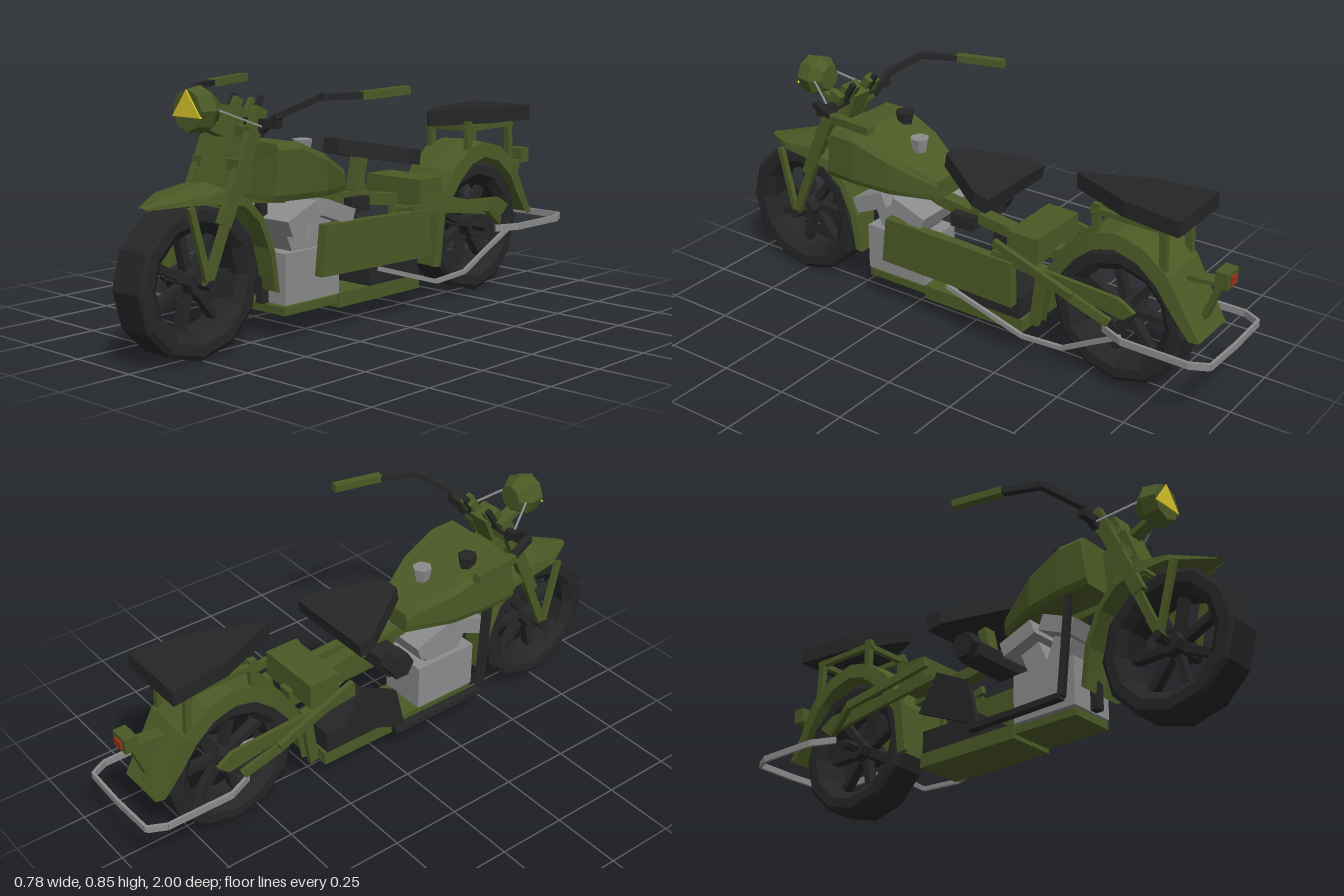
import * as THREE from 'three';

const mat = (color) => new THREE.MeshStandardMaterial({ color, flatShading: true, side: THREE.DoubleSide });
const V = (a) => new THREE.Vector3(...a);

export function createModel() {
  const olive = mat(0x4b5a26), black = mat(0x262626), grey = mat(0x8c8c8c);
  const yellow = mat(0xd8c52a), red = mat(0x9c3018);
  const model = new THREE.Group();
  model.name = 'motorcycle';
  const bike = new THREE.Group();
  bike.name = 'bike';
  bike.position.x = -0.01;
  model.add(bike);

  const add = (name, geo, m, parent = bike) => {
    const mesh = new THREE.Mesh(geo, m);
    mesh.name = name;
    parent.add(mesh);
    return mesh;
  };
  const box = (name, m, x0, x1, y0, y1, z0, z1) => {
    const mesh = add(name, new THREE.BoxGeometry(x1 - x0, y1 - y0, z1 - z0), m);
    mesh.position.set((x0 + x1) / 2, (y0 + y1) / 2, (z0 + z1) / 2);
    return mesh;
  };
  // Straight bar between two points; w across, h up
  const bar = (name, m, a, b, w, h = w) => {
    const p = V(a), q = V(b);
    const mesh = new THREE.Mesh(new THREE.BoxGeometry(w, h, p.distanceTo(q)), m);
    mesh.position.copy(p).lerp(q, 0.5);
    mesh.lookAt(q);
    mesh.name = name;
    bike.add(mesh);
    return mesh;
  };
  const path = (name, m, pts, w, h = w) => {
    for (let i = 1; i < pts.length; i++) bar(name, m, pts[i - 1], pts[i], w, h);
  };
  const flip = (s, pts) => pts.map(([x, y, z]) => [x * s, y, z]);
  const shape = (pts) => new THREE.Shape(pts.map(([a, b]) => new THREE.Vector2(a, b)));
  // Side outline in (z, y), thick from x0 to x1
  const side = (name, m, pts, x0, x1) => {
    const g = new THREE.ExtrudeGeometry(shape(pts), { depth: x1 - x0, bevelEnabled: false });
    return add(name, g.rotateY(-Math.PI / 2).translate(x1, 0, 0), m);
  };
  // Plan outline in (x, z), thick from y0 to y1
  const plan = (name, m, pts, y0, y1) => {
    const g = new THREE.ExtrudeGeometry(shape(pts.map(([x, z]) => [x, -z])), { depth: y1 - y0, bevelEnabled: false });
    return add(name, g.rotateX(-Math.PI / 2).translate(0, y0, 0), m);
  };
  // Skin over equal cross-sections; closed adds the seam and end caps
  const loft = (name, m, rings, closed) => {
    const n = rings[0].length, idx = [];
    for (let i = 0; i < rings.length - 1; i++)
      for (let j = 0; j < (closed ? n : n - 1); j++) {
        const a = i * n + j, b = i * n + (j + 1) % n;
        idx.push(a, a + n, b, b, a + n, b + n);
      }
    if (closed) for (let j = 1; j < n - 1; j++) {
      const e = (rings.length - 1) * n;
      idx.push(0, j, j + 1, e, e + j + 1, e + j);
    }
    const g = new THREE.BufferGeometry();
    g.setAttribute('position', new THREE.Float32BufferAttribute(rings.flat(2), 3));
    g.setIndex(idx);
    g.computeVertexNormals();
    return add(name, g, m);
  };

  // Wheels: twelve-sided tyre, hub and spokes
  const profile = [[0.165, -0.045], [0.195, -0.07], [0.23, -0.07], [0.245, -0.06], [0.245, 0.06],
    [0.23, 0.07], [0.195, 0.07], [0.165, 0.045], [0.165, -0.045]].map(([r, x]) => new THREE.Vector2(r, x));
  for (const [name, z] of [['frontWheel', 0.755], ['rearWheel', -0.6]]) {
    const wheel = new THREE.Group();
    wheel.name = name;
    wheel.position.set(0, 0.245, z);
    bike.add(wheel);
    add('tyre', new THREE.LatheGeometry(profile, 12).rotateZ(Math.PI / 2), black, wheel);
    add('hub', new THREE.CylinderGeometry(0.042, 0.042, 0.12, 8).rotateZ(Math.PI / 2), black, wheel);
    add('axle', new THREE.CylinderGeometry(0.018, 0.018, 0.23, 6).rotateZ(Math.PI / 2), black, wheel);
    for (let i = 0; i < 7; i++)
      add('spoke', new THREE.BoxGeometry(0.035, 0.026, 0.16).translate(0, 0, -0.1)
        .rotateX(i * Math.PI * 2 / 7), black, wheel);
  }

  // Mudguards: rows of z, y, half width, side depth, ridge height
  const guard = (name, rows, cz, cy) => loft(name, olive, rows.map(([z, y, w, d, r]) => {
    const n = new THREE.Vector2(z - cz, y - cy).normalize();
    const at = (x, k) => [x, y + n.y * k, z + n.x * k];
    return [at(-w, -d), at(-w * 0.95, 0), at(0, r), at(w * 0.95, 0), at(w, -d)];
  }));
  guard('frontMudguard', [[0.93, 0.49, 0.02, 0.005, 0.005], [0.8, 0.515, 0.1, 0.02, 0.01], [0.68, 0.53, 0.108, 0.045, 0.015],
    [0.59, 0.495, 0.105, 0.03, 0.01], [0.52, 0.425, 0.1, 0.025, 0.01], [0.47, 0.31, 0.1, 0.025, 0.005],
    [0.45, 0.17, 0.1, 0.025, 0]], 0.755, 0.245);
  guard('rearMudguard', [[-0.31, 0.14, 0.09, 0.035, 0], [-0.33, 0.33, 0.1, 0.045, 0], [-0.42, 0.47, 0.105, 0.055, 0.005],
    [-0.51, 0.54, 0.105, 0.055, 0.005], [-0.6, 0.56, 0.105, 0.055, 0.005], [-0.7, 0.535, 0.105, 0.055, 0.005],
    [-0.79, 0.465, 0.105, 0.055, 0.005], [-0.85, 0.36, 0.1, 0.045, 0.005], [-0.91, 0.26, 0.095, 0.035, 0]], -0.6, 0.245);

  // Tank: front to back z, half width, bottom, top
  loft('fuelTank', olive, [[0.535, 0.165, 0.48, 0.66], [0.42, 0.165, 0.475, 0.658],
    [0.28, 0.145, 0.467, 0.605], [0.12, 0.075, 0.46, 0.53]].map(([z, w, b, t], i) => {
    const zt = i ? z : z - 0.02;
    return [[-w * 0.95, b, z], [w * 0.95, b, z], [w, b + 0.02, z], [w, t - 0.02, zt],
      [w * 0.9, t, zt], [-w * 0.9, t, zt], [-w, t - 0.02, zt], [-w, b + 0.02, z]];
  }), true);
  const cap = (name, m, x, y, z) => add(name, new THREE.CylinderGeometry(0.035, 0.026, 0.05, 6), m).position.set(x, y, z);
  cap('fuelCap', grey, 0, 0.615, 0.25);
  cap('oilCap', black, -0.085, 0.655, 0.38);

  // Steering head and yokes
  bar('steeringHead', olive, [0, 0.76, 0.53], [0, 0.5, 0.64], 0.08, 0.07);
  side('headGusset', olive, [[0.5, 0.62], [0.61, 0.7], [0.68, 0.52], [0.5, 0.5]], -0.05, 0.05);
  bar('lowerYoke', olive, [-0.105, 0.6, 0.61], [0.105, 0.6, 0.61], 0.05, 0.035);
  bar('upperYoke', olive, [-0.105, 0.7, 0.56], [0.105, 0.7, 0.56], 0.05, 0.03);
  bar('handlebarCentre', black, [-0.19, 0.725, 0.54], [0.19, 0.725, 0.54], 0.026);

  for (const s of [-1, 1]) {
    // Fork legs and struts
    bar('forkLeg', olive, [s * 0.095, 0.77, 0.53], [s * 0.095, 0.42, 0.69], 0.028, 0.045);
    bar('forkLeg', olive, [s * 0.095, 0.45, 0.67], [s * 0.095, 0.24, 0.76], 0.018, 0.03);
    bar('forkStrut', olive, [s * 0.095, 0.49, 0.82], [s * 0.1, 0.24, 0.755], 0.018, 0.022);
    bar('barClamp', olive, [s * 0.035, 0.68, 0.57], [s * 0.035, 0.79, 0.5], 0.02, 0.03);
    bar('barRiser', black, [s * 0.06, 0.7, 0.55], [s * 0.06, 0.8, 0.49], 0.018);
    bar('cable', grey, [s * 0.06, 0.77, 0.67], [s * 0.13, 0.71, 0.54], 0.006);
    // Handlebar and grips
    path('handlebar', black, flip(s, [[0.11, 0.7, 0.54], [0.19, 0.752, 0.54], [0.29, 0.81, 0.46], [0.345, 0.81, 0.33]]), 0.024, 0.02);
    bar('grip', olive, [s * 0.345, 0.81, 0.34], [s * 0.375, 0.818, 0.155], 0.03, 0.026);
    // Rear frame
    side('rearStay', olive, [[-0.15, 0.38], [-0.64, 0.355], [-0.7, 0.32], [-0.66, 0.285], [-0.4, 0.325], [-0.15, 0.355]],
      s * 0.13 - 0.008, s * 0.13 + 0.008);
    path('rearGuardTube', olive, flip(s, [[0.15, 0.42, -0.17], [0.19, 0.34, -0.5], [0.155, 0.27, -0.62]]), 0.018, 0.03);
    bar('rearStrut', olive, [s * 0.11, 0.14, -0.31], [s * 0.11, 0.37, -0.34], 0.02, 0.035);
    // Rack posts
    bar('rackPost', olive, [s * 0.085, 0.48, -0.52], [s * 0.085, 0.64, -0.52], 0.02, 0.025);
    bar('rackPost', olive, [s * 0.085, 0.46, -0.77], [s * 0.085, 0.64, -0.76], 0.02, 0.025);
    bar('rackRail', olive, [s * 0.085, 0.615, -0.5], [s * 0.085, 0.615, -0.78], 0.02);
    // Rear bumper
    path('bumper', grey, flip(s, [[0.155, 0.245, -0.6], [0.195, 0.245, -0.69], [0.195, 0.245, -0.93],
      [0.165, 0.245, -0.99], [0, 0.245, -0.995]]), 0.01, 0.024);
  }
  bar('rackCross', olive, [-0.09, 0.615, -0.52], [0.09, 0.615, -0.52], 0.02);
  bar('rackCross', olive, [-0.09, 0.615, -0.77], [0.09, 0.615, -0.77], 0.02);

  // Headlamp with triangular lens
  const lamp = [[0, 0.65], [0.045, 0.65], [0.075, 0.69], [0.066, 0.745], [0, 0.745]].map(([r, z]) => new THREE.Vector2(r, z));
  add('headlamp', new THREE.LatheGeometry(lamp, 8).rotateX(Math.PI / 2).translate(0, 0.77, 0), olive);
  add('lens', new THREE.ExtrudeGeometry(shape([[-0.065, 0.75], [0.065, 0.75], [0, 0.835]]),
    { depth: 0.006, bevelEnabled: false }).translate(0, 0, 0.743), yellow);
  bar('lampBracket', olive, [0, 0.72, 0.68], [0, 0.67, 0.57], 0.05, 0.02);

  // Engine: crankcase and V-twin cylinders
  box('crankcase', grey, -0.09, 0.09, 0.12, 0.29, 0.17, 0.42);
  bar('cylinder', grey, [0, 0.25, 0.31], [0, 0.39, 0.37], 0.14, 0.08);
  bar('cylinder', grey, [0, 0.25, 0.28], [0, 0.39, 0.22], 0.14, 0.08);
  box('cylinderHead', grey, -0.12, 0.135, -0.028, 0.028, -0.07, 0.07).position.set(0.007, 0.405, 0.375);
  bike.children.at(-1).rotation.x = 0.4;
  box('cylinderHead', grey, -0.12, 0.135, -0.028, 0.028, -0.07, 0.07).position.set(0.007, 0.405, 0.21);
  bike.children.at(-1).rotation.x = -0.35;
  const cleaner = add('airCleaner', new THREE.CylinderGeometry(0.05, 0.05, 0.055, 6).rotateZ(Math.PI / 2), black);
  cleaner.position.set(-0.15, 0.42, 0.02);
  bar('intake', black, [-0.15, 0.4, 0.03], [0.06, 0.4, 0.03], 0.09, 0.05);

  // Belly tray, gearbox and chain case
  box('frontTray', olive, -0.085, 0.085, 0.085, 0.112, 0.17, 0.42);
  box('rearTray', olive, -0.09, 0.09, 0.07, 0.12, -0.245, 0.17);
  box('gearbox', black, -0.09, 0.09, 0.12, 0.2, -0.235, 0.02);
  side('chainCase', olive, [[0.29, 0.375], [-0.235, 0.36], [-0.24, 0.195], [0.31, 0.205]], 0.115, 0.15);

  // Frame tubes
  bar('backbone', olive, [0, 0.48, 0.5], [0, 0.37, -0.34], 0.05, 0.04);
  bar('downTube', black, [0, 0.5, 0.44], [0, 0.12, 0.44], 0.03);
  path('sideFrame', black, [[-0.135, 0.48, 0.44], [-0.145, 0.13, 0.41], [-0.14, 0.125, 0.02]], 0.03, 0.02);
  side('sidePlate', black, [[0.06, 0.13], [-0.2, 0.24], [-0.12, 0.37], [0.02, 0.3]], -0.15, -0.13);

  // Rider saddle, tilted down to the rear
  const saddle = plan('saddle', black, [[-0.17, -0.14], [0.17, -0.14], [0.165, -0.08], [0.035, 0.13], [-0.035, 0.13], [-0.165, -0.08]],
    -0.026, 0.026);
  saddle.position.set(0, 0.58, -0.015);
  saddle.rotation.x = -0.19;
  bar('saddlePost', olive, [0, 0.56, -0.03], [0, 0.38, 0.01], 0.05, 0.035);
  box('toolBox', olive, -0.125, 0.125, 0.37, 0.465, -0.325, -0.205);

  // Passenger pad
  plan('passengerPad', black, [[-0.13, -0.835], [0.13, -0.835], [0.1, -0.62], [0.005, -0.395], [-0.005, -0.395], [-0.1, -0.62]],
    0.627, 0.682);

  // Exhaust strap
  path('exhaust', grey, [[0.145, 0.19, 0.03], [0.14, 0.095, -0.28], [0.14, 0.105, -0.44], [0.15, 0.17, -0.55],
    [0.165, 0.24, -0.67]], 0.012, 0.016);

  // Tail lamp on its bracket
  bar('tailBracket', olive, [0, 0.44, -0.82], [0, 0.45, -0.95], 0.05, 0.015);
  bar('tailStrut', olive, [0, 0.45, -0.93], [0, 0.31, -0.88], 0.03, 0.02);
  box('tailLamp', olive, -0.035, 0.035, 0.445, 0.5, -0.965, -0.92);
  box('tailLens', red, -0.018, 0.018, 0.455, 0.485, -0.972, -0.965);
  return model;
}
